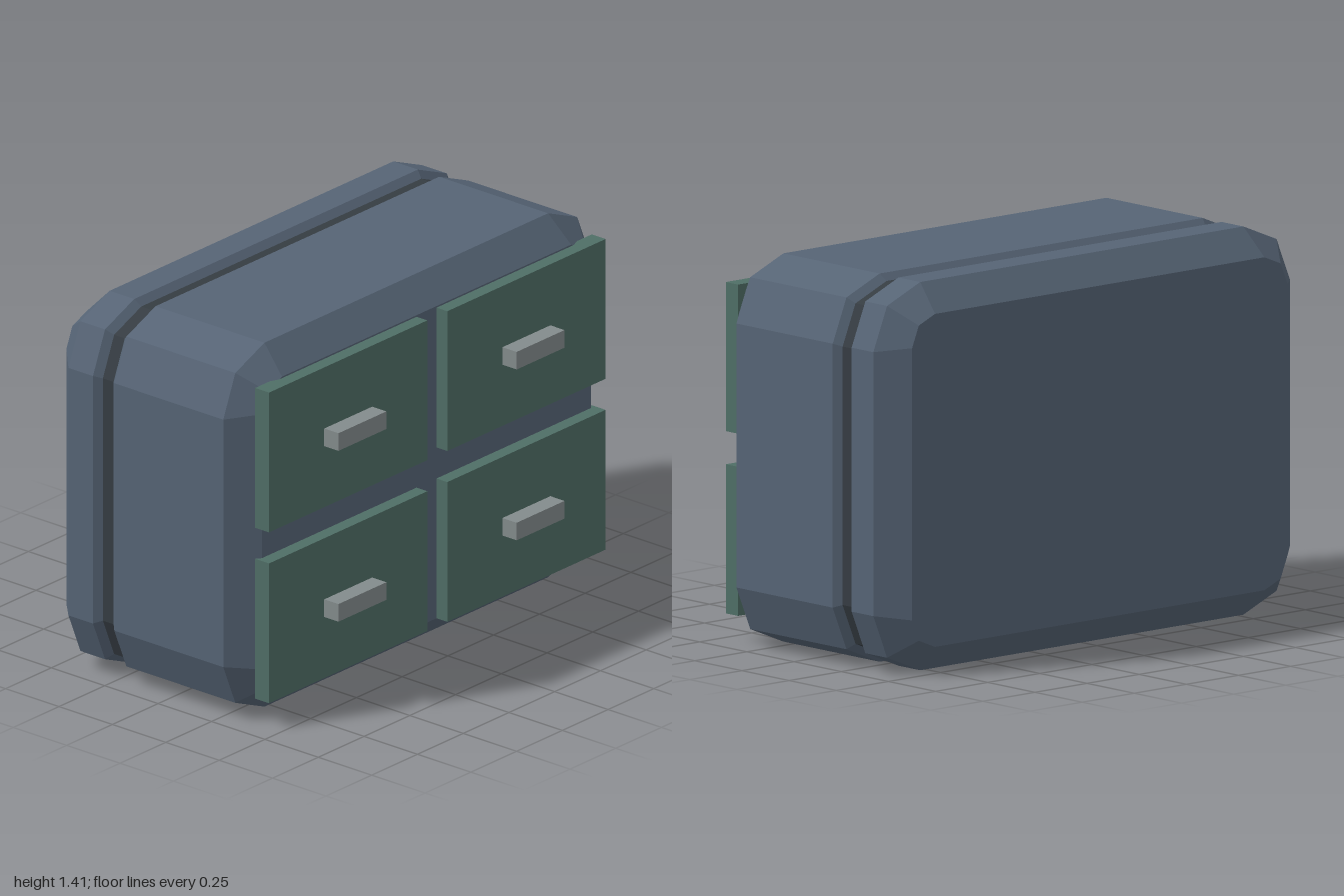
import * as THREE from 'three';

const material = (name, color) => {
  const m = new THREE.MeshStandardMaterial({ color });
  m.name = name;
  return m;
};

const HALF_W = 1, HALF_H = 0.703, MID_Y = 0.703;

// Rounded rectangle with two-segment corners, counter-clockwise from the front
function ring(inset, radius, z) {
  const w = HALF_W - inset - radius, h = HALF_H - inset - radius;
  const points = [];
  [[1, 1], [-1, 1], [-1, -1], [1, -1]].forEach(([sx, sy], corner) => {
    for (let i = 0; i <= 2; i++) {
      const a = (corner * 2 + i) * Math.PI / 4;
      points.push([sx * w + radius * Math.cos(a), MID_Y + sy * h + radius * Math.sin(a), z]);
    }
  });
  return points;
}

// Flat-shaded skin through rings listed from front to back
function loft(rings, capFront, capBack) {
  const pos = [];
  const n = rings[0].length;
  for (let r = 0; r < rings.length - 1; r++) {
    const f = rings[r], b = rings[r + 1];
    for (let i = 0; i < n; i++) {
      const j = (i + 1) % n;
      pos.push(...f[i], ...b[i], ...b[j], ...f[i], ...b[j], ...f[j]);
    }
  }
  const last = rings[rings.length - 1];
  for (let i = 1; i < n - 1; i++) {
    if (capFront) pos.push(...rings[0][0], ...rings[0][i], ...rings[0][i + 1]);
    if (capBack) pos.push(...last[0], ...last[i + 1], ...last[i]);
  }
  const g = new THREE.BufferGeometry();
  g.setAttribute('position', new THREE.Float32BufferAttribute(pos, 3));
  g.computeVertexNormals();
  return g;
}

export function createModel() {
  const group = new THREE.Group();
  const body = material('slate blue', 0x566475);
  const dark = material('dark groove', 0x353c42);
  const green = material('drawer green', 0x4f6e66);
  const grey = material('handle grey', 0x838b8c);

  const add = (name, geometry, mat, x = 0, y = 0, z = 0) => {
    const mesh = new THREE.Mesh(geometry, mat);
    mesh.name = name;
    mesh.position.set(x, y, z);
    group.add(mesh);
  };

  // Cabinet shell: chamfered front block, recessed groove, chamfered back block
  const frontGroove = ring(0.025, 0.21, -0.23);
  const backGroove = ring(0.025, 0.21, -0.28);
  add('cabinetFront', loft([
    ring(0.1, 0.11, 0.4), ring(0, 0.225, 0.305), ring(0, 0.225, -0.205), frontGroove,
  ], true, false), body);
  add('groove', loft([frontGroove, backGroove], false, false), dark);
  add('cabinetBack', loft([
    backGroove, ring(0, 0.225, -0.305), ring(0, 0.225, -0.42), ring(0.1, 0.11, -0.515),
  ], false, true), body);

  // Four drawers with bar handles
  const drawer = new THREE.BoxGeometry(0.865, 0.54, 0.065);
  const handle = new THREE.BoxGeometry(0.262, 0.068, 0.07);
  for (const x of [-0.487, 0.487]) {
    for (const y of [0.37, 1.03]) {
      add('drawer', drawer, green, x, y, 0.418);
      add('handle', handle, grey, x, y, 0.482);
    }
  }
  return group;
}
